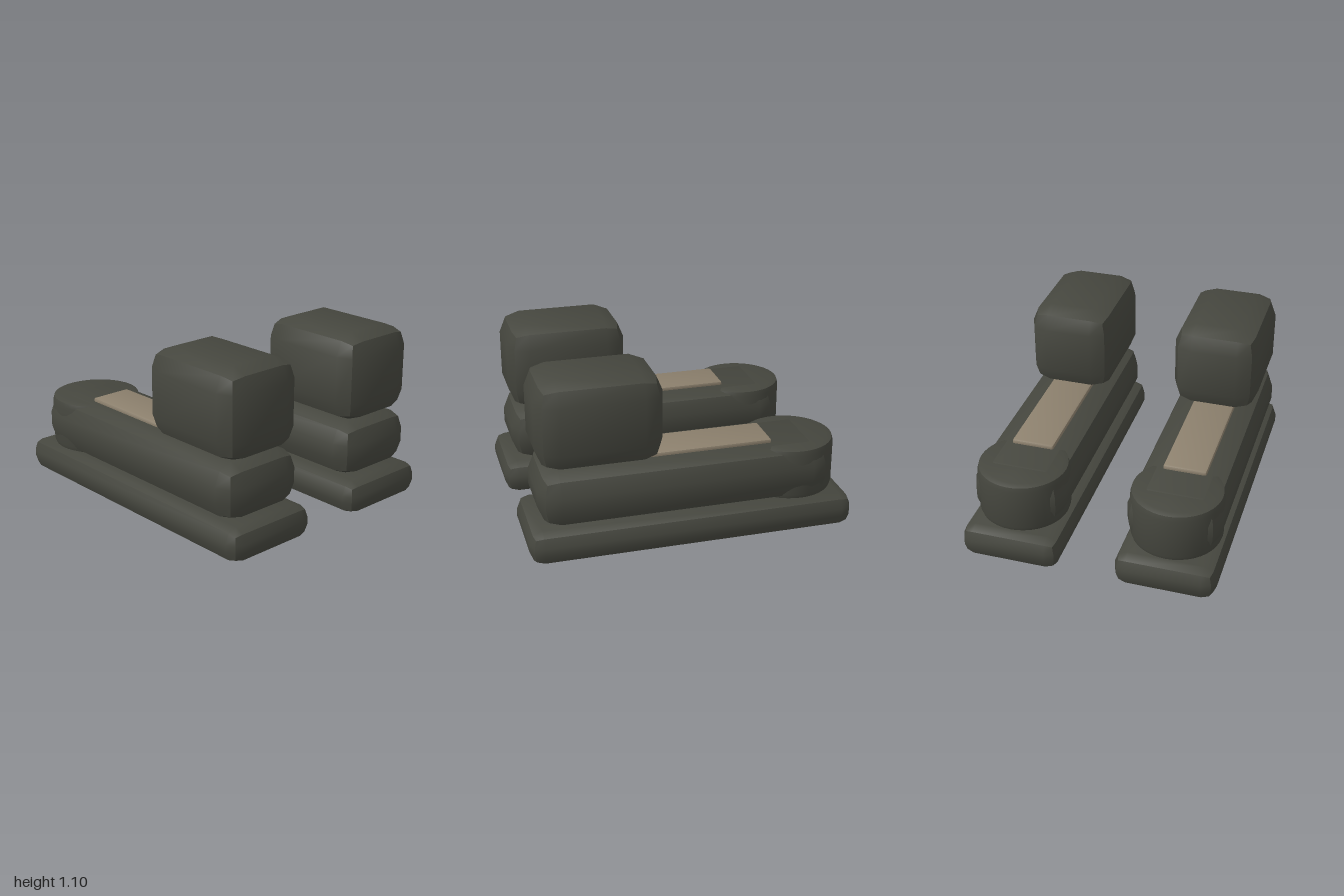
import * as THREE from 'three';
import { toCreasedNormals } from 'three/addons/utils/BufferGeometryUtils.js';
import { RoundedBoxGeometry } from 'three/addons/geometries/RoundedBoxGeometry.js';

const CREASE = THREE.MathUtils.degToRad(32);

export function createModel() {
  const charcoal = new THREE.MeshStandardMaterial({ color: 0x45463e });
  charcoal.name = 'charcoal';
  const tan = new THREE.MeshStandardMaterial({ color: 0x8c806d });
  tan.name = 'tan';

  // Box given by its limits, with each edge rounded by one pair of chamfers
  function softBox(name, halfWidth, y0, y1, z0, z1, radius, material) {
    const box = new RoundedBoxGeometry(halfWidth * 2, y1 - y0, z1 - z0, 1, radius);
    const mesh = new THREE.Mesh(toCreasedNormals(box, CREASE), material);
    mesh.name = name;
    mesh.position.set(0, (y0 + y1) / 2, (z0 + z1) / 2);
    return mesh;
  }

  // Round heel with softened rims
  function heelCup() {
    const profile = [
      [0, 0.21], [0.24, 0.21], [0.272, 0.225], [0.28, 0.25],
      [0.28, 0.505], [0.272, 0.535], [0.24, 0.546], [0, 0.546],
    ].map(([r, y]) => new THREE.Vector2(r, y));
    const mesh = new THREE.Mesh(toCreasedNormals(new THREE.LatheGeometry(profile, 40), CREASE), charcoal);
    mesh.name = 'heelCup';
    mesh.position.z = -0.662;
    return mesh;
  }

  function shoe(name, x) {
    const group = new THREE.Group();
    group.name = name;
    group.position.x = x;
    group.add(
      softBox('sole', 0.31, 0, 0.207, -1, 1, 0.08, charcoal),
      softBox('footBody', 0.288, 0.205, 0.55, -0.855, 0.932, 0.125, charcoal),
      heelCup(),
      softBox('toeBlock', 0.275, 0.553, 1.103, 0.175, 0.932, 0.13, charcoal),
      softBox('instepStrip', 0.134, 0.53, 0.573, -0.512, 0.42, 0.015, tan),
    );
    return group;
  }

  const model = new THREE.Group();
  model.name = 'pairOfShoes';
  for (const side of [-1, 1]) model.add(shoe(side < 0 ? 'rightShoe' : 'leftShoe', side * 0.481));
  return model;
}
